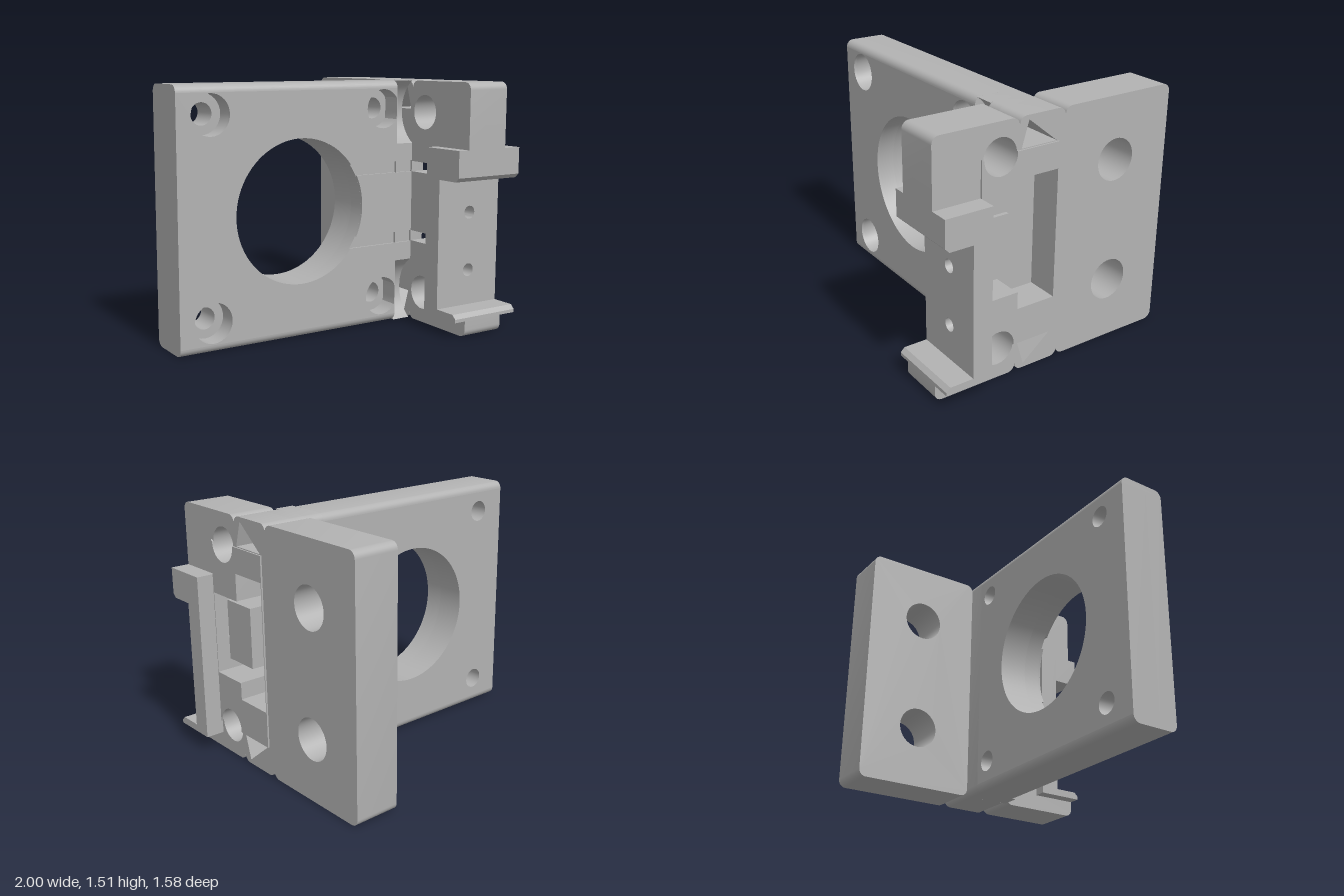
import * as THREE from 'three';
import { toCreasedNormals } from 'three/addons/utils/BufferGeometryUtils.js';

const H = 1.51, R = 0.045, PI = Math.PI;

const poly = (pts) => new THREE.Shape(pts.map(([a, b]) => new THREE.Vector2(a, b)));

function circlePts(cx, cy, r, n = 40, maxX = Infinity) {
  return Array.from({ length: n }, (_, i) => {
    const a = (i / n) * 2 * PI;
    return [Math.min(cx + r * Math.cos(a), maxX), cy + r * Math.sin(a)];
  });
}

// points of an arc, from angle a to angle b
function arc(cx, cy, r, a, b, n = 8) {
  return Array.from({ length: n + 1 }, (_, i) => {
    const t = a + (b - a) * (i / n);
    return [cx + r * Math.cos(t), cy + r * Math.sin(t)];
  });
}

// quarter-round corners of a z-y profile
const lowBack = (z) => arc(z + R, R, R, PI, 1.5 * PI);
const lowFront = (z) => arc(z - R, R, R, -PI / 2, 0);
const topFront = (z) => arc(z - R, H - R, R, 0, PI / 2);
const topBack = (z) => arc(z + R, H - R, R, PI / 2, PI);

export function createModel() {
  const group = new THREE.Group();
  const grey = new THREE.MeshStandardMaterial({ color: 0xb2b2b2 });
  grey.name = 'grey plastic';

  function add(name, geometry) {
    const mesh = new THREE.Mesh(toCreasedNormals(geometry, 0.5), grey);
    mesh.name = name;
    group.add(mesh);
  }
  const withHoles = (pts, holes) => {
    const s = poly(pts);
    s.holes = holes.map(poly);
    return s;
  };
  // x-y outline pushed along z
  function alongZ(name, pts, z0, z1, holes = []) {
    const g = new THREE.ExtrudeGeometry(withHoles(pts, holes), { depth: z1 - z0, bevelEnabled: false });
    add(name, g.translate(0, 0, z0));
  }
  // z-y outline pushed along x
  function alongX(name, pts, x0, x1, holes = []) {
    const g = new THREE.ExtrudeGeometry(withHoles(pts, holes), { depth: x1 - x0, bevelEnabled: false });
    add(name, g.rotateY(-PI / 2).translate(x1, 0, 0));
  }

  // motor plate in three layers: screw holes, counterbores, tie grooves
  const plate = [[-1, R], [0.48, R], [0.48, H - R], [-1, H - R]];
  const bore = { x: -0.21, y: 0.757, r: 0.432 };
  const screws = (r) => [-0.793, 0.375].flatMap((x) =>
    [0.172, 1.342].map((y) => circlePts(x, y, r, 32, 0.477)));
  const round = circlePts(bore.x, bore.y, bore.r, 80);
  alongZ('plateBack', plate, -0.04, 0.14, [round, ...screws(0.065)]);
  alongZ('plateMiddle', plate, 0.14, 0.245, [round, ...screws(0.119)]);
  const at = (y) => Math.asin((y - bore.y) / bore.r);
  const bands = [[0.5, 0.57], [0.945, 1.015]];
  const slot = ([a, b]) => [[0.477, a], [0.477, b]];
  const bigArc = (a, b, n) => arc(bore.x, bore.y, bore.r, a, b, n);
  const grooved = [
    ...bigArc(at(0.57), at(0.945), 14), ...slot(bands[1]),
    ...bigArc(at(1.015), 2 * PI + at(0.5), 64), ...slot(bands[0]),
  ];
  alongZ('plateFront', plate, 0.245, 0.26, [grooved, ...screws(0.119)]);

  // rounded long edges of the plate
  alongX('plateTopEdge', [[-0.04, H - R], [0.26, H - R], ...topFront(0.26), ...topBack(-0.04)], -1, 0.48);
  alongX('plateBottomEdge', [...lowBack(-0.04), ...lowFront(0.26), [-0.04, R]], -1, 0.48);

  // relieved strip beside the flange, with round screw clearances
  alongX('plateClearance', [
    ...lowBack(-0.04),
    ...arc(0.38, 0.19, 0.23, PI + 0.971, PI - 1.021, 20),
    ...bands.flatMap(([a, b]) => [[0.26, a], [0.245, a], [0.245, b], [0.26, b]]),
    ...arc(0.38, 1.32, 0.23, PI + 1.021, PI - 0.971, 20),
    ...topBack(-0.04),
  ], 0.48, 0.6);

  // plate end, with corner recesses and an open side pocket
  const recesses = [
    [[0.015, 1.335], [0.245, 1.335], [0.2, 1.485]],
    [[0.015, 0.175], [0.245, 0.175], [0.2, 0.025]],
  ];
  alongX('plateEndInner', [...lowBack(-0.04), ...lowFront(0.26), ...topFront(0.26), ...topBack(-0.04)],
    0.6, 0.69, recesses);
  alongX('plateEndOuter', [
    ...lowBack(-0.04), ...lowFront(0.26),
    [0.26, 0.4], [0.005, 0.4], [0.005, 1.175], [0.26, 1.175],
    ...topFront(0.26), ...topBack(-0.04),
  ], 0.69, 0.88, recesses);

  // rear mounting flange
  alongX('rearFlange', [...lowBack(-0.79), ...lowFront(-0.04), ...topFront(-0.04), ...topBack(-0.79)],
    0.6, 0.88, [1.132, 0.38].map((y) => circlePts(-0.413, y, 0.126)));

  // front flange, stepped back behind the clip and open at the window
  alongX('frontFlange', [
    ...lowBack(0.26), ...lowFront(0.79),
    [0.79, 0.1], [0.5, 0.1], [0.5, 0.505], [0.26, 0.505], [0.26, 0.5],
    ...topBackCut(),
  ], 0.6, 0.88, [circlePts(0.38, 0.19, 0.105)]);
  alongX('frontFlangeUpper', [
    [0.26, 1.01], [0.5, 1.01], [0.5, 1.12], [0.79, 1.12],
    ...topFront(0.79), ...topBack(0.26),
  ], 0.6, 0.88, [circlePts(0.38, 1.32, 0.105)]);
  alongX('windowBlock', [[0.26, 0.57], [0.5, 0.57], [0.5, 0.945], [0.26, 0.945]], 0.6, 0.8);

  // thin raised pad around the pocket and window
  alongX('sidePad', [
    [0, 0.18], [0.275, 0.18],
    ...arc(0.38, 0.19, 0.105, PI, 0, 16),
    [0.5, 0.18], [0.5, 1.33],
    ...arc(0.38, 1.32, 0.105, 0, -PI, 16),
    [0.275, 1.33], [0, 1.33],
  ], 0.88, 0.89, [[
    [0.005, 0.4], [0.255, 0.4], [0.255, 0.505], [0.495, 0.505],
    [0.495, 1.01], [0.255, 1.01], [0.255, 1.175], [0.005, 1.175],
  ]]);

  // rail clip: back plate with two screw holes, upper and lower lips
  alongZ('clipPlate', [[0.525, 0.1], [0.995, 0.1], [0.995, 1.12], [0.525, 1.12]], 0.5, 0.62,
    [0.72, 0.362].map((y) => circlePts(0.765, y, 0.04, 24)));
  alongX('clipUpperLip', [[0.62, 0.935], [0.765, 0.935], [0.79, 0.96], [0.79, 1.12], [0.62, 1.12]], 0.525, 0.995);
  alongX('clipLowerLip', [[0.62, 0.1], [0.79, 0.1], [0.79, 0.12], [0.765, 0.145], [0.62, 0.145]], 0.525, 0.995);

  return group;
}

// closing side of the lower front flange
function topBackCut() {
  return [[0.26, 0.3], [0.26, R + 0.01]];
}
